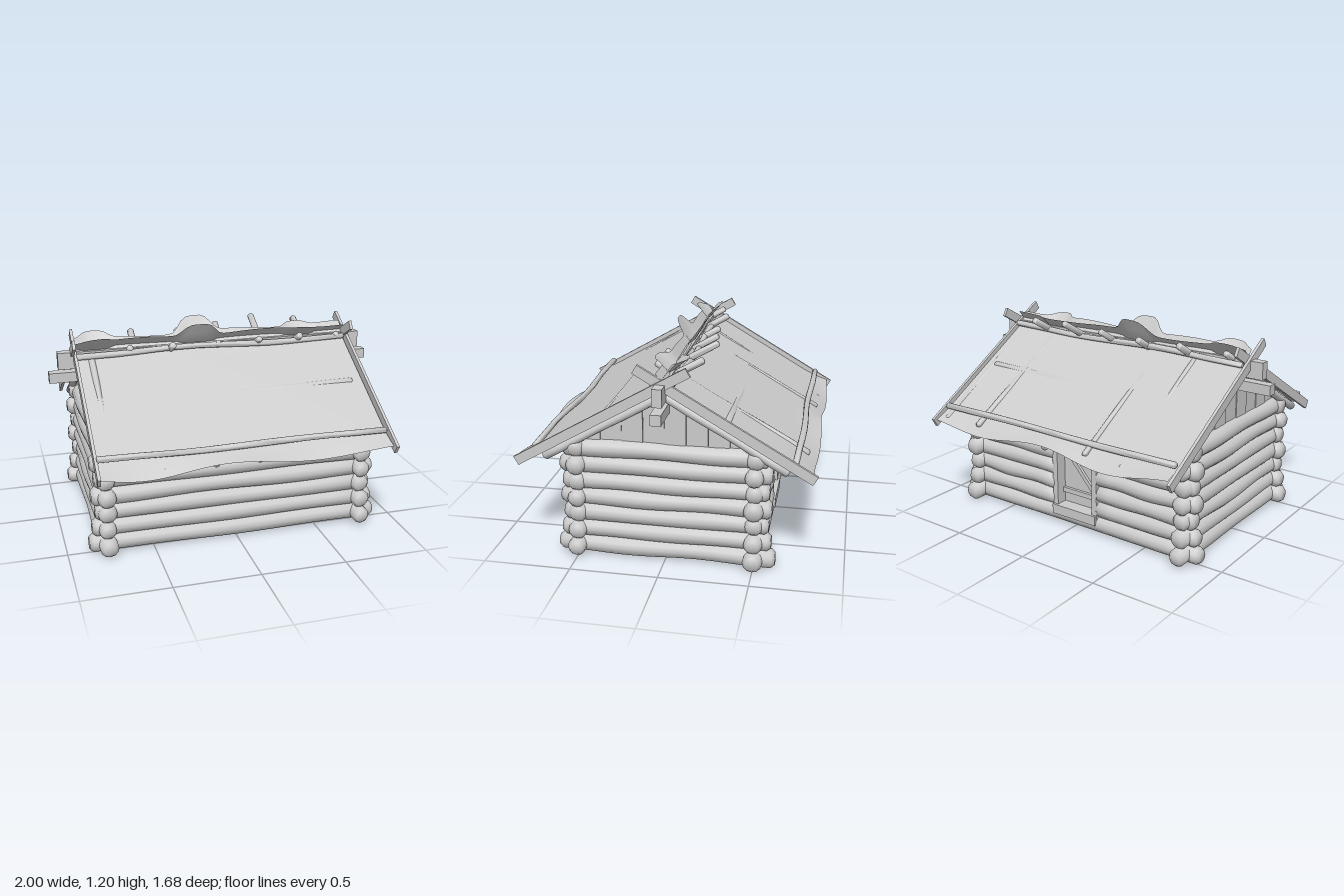
import * as THREE from 'three';
import { toCreasedNormals } from 'three/addons/utils/BufferGeometryUtils.js';

const SLOPE = 0.58;
const roofY = z => 1.05 - SLOPE * z;
const grey = new THREE.MeshStandardMaterial({ color: 0xcccccc });
const thin = new THREE.MeshStandardMaterial({ color: 0xcccccc, side: THREE.DoubleSide });

export function createModel() {
  const model = new THREE.Group();
  let seed = 1;

  function add(geometry, name, material = grey, parent = model) {
    const mesh = new THREE.Mesh(geometry, material);
    mesh.name = name;
    parent.add(mesh);
    return mesh;
  }

  function group(name) {
    const g = new THREE.Group();
    g.name = name;
    model.add(g);
    return g;
  }

  // Slightly crooked round timber from point a to point b, with worn ends
  function log(a, b, r, name, parent, wobble = 0.05) {
    const from = new THREE.Vector3(...a), to = new THREE.Vector3(...b);
    const dir = to.clone().sub(from), len = dir.length(), rings = 14;
    const geo = new THREE.CylinderGeometry(r, r, len, 12, rings);
    const p = geo.attributes.position;
    const k = seed++ * 1.7;
    for (let i = 0; i < p.count; i++) {
      const t = p.getY(i) / len + 0.5;
      const ring = Math.round(t * rings);
      const end = ring === 0 || ring === rings ? 0.66 : 1;
      if (ring === 1 || ring === rings - 1) p.setY(i, Math.sign(t - 0.5) * (len / 2 - r * 0.4));
      const s = end * (1 + 0.05 * Math.sin(t * 11 + k));
      p.setX(i, p.getX(i) * s + r * wobble * Math.sin(t * 9 + k * 2));
      p.setZ(i, p.getZ(i) * s + r * wobble * Math.sin(t * 10 + k * 3));
    }
    const mesh = add(toCreasedNormals(geo, 1.2), name, grey, parent);
    mesh.position.copy(from).add(to).multiplyScalar(0.5);
    mesh.quaternion.setFromUnitVectors(new THREE.Vector3(0, 1, 0), dir.normalize());
  }

  function box(w, h, d, x, y, z, name, parent) {
    const mesh = add(new THREE.BoxGeometry(w, h, d), name, grey, parent);
    mesh.position.set(x, y, z);
    return mesh;
  }

  // Log walls, with the back wall cut for the door
  const doorL = 0.13, doorR = -0.16;
  const walls = group('logWalls');
  for (let i = 0; i < 7; i++) {
    const y = 0.057 + i * 0.0985, r = 0.053;
    const ex = i === 0 ? 0.875 : 0.835 + 0.02 * (i % 2);
    const ez = i === 0 ? 0.62 : 0.58 + 0.015 * (i % 2);
    log([-ex, y, 0.5], [ex, y, 0.5], r, 'frontLog', walls);
    if (i > 0 && i < 6) {
      log([-ex, y, -0.5], [doorR, y, -0.5], r, 'backLogRight', walls);
      log([doorL, y, -0.5], [ex, y, -0.5], r, 'backLogLeft', walls);
    } else {
      log([-ex, y, -0.5], [ex, y, -0.5], r, 'backLog', walls);
    }
    for (const s of [-1, 1]) log([s * 0.77, y, -ez], [s * 0.77, y, ez], r, 'sideLog', walls);
  }

  // Plank door with jambs, sill and diagonal brace
  const door = group('door');
  const dx = (doorL + doorR) / 2;
  box(0.28, 0.52, 0.02, dx, 0.35, -0.465, 'doorPanel', door);
  for (const x of [doorL, doorR]) box(0.035, 0.53, 0.11, x, 0.35, -0.49, 'doorJamb', door);
  box(0.32, 0.06, 0.13, dx, 0.09, -0.495, 'doorSill', door);
  for (const y of [0.2, 0.5]) box(0.26, 0.03, 0.02, dx, y, -0.483, 'doorBatten', door);
  box(0.38, 0.025, 0.02, dx, 0.35, -0.482, 'doorBrace', door).rotation.z = 0.85;

  // Gables of vertical planks cut to the roof slope
  const gables = group('gables');
  const n = 8, half = 0.48, w = 2 * half / n;
  const plankTop = z => roofY(Math.abs(z)) - 0.05;
  for (const s of [-1, 1]) {
    for (let i = 0; i < n; i++) {
      const z0 = -half + i * w + 0.001, z1 = -half + (i + 1) * w - 0.001;
      const shape = new THREE.Shape();
      shape.moveTo(-z0, 0.62);
      shape.lineTo(-z1, 0.62);
      shape.lineTo(-z1, plankTop(z1));
      shape.lineTo(-z0, plankTop(z0));
      const geo = new THREE.ExtrudeGeometry(shape, { depth: 0.02, bevelEnabled: false });
      geo.rotateY(Math.PI / 2);
      geo.translate(s * 0.77 - 0.01 + 0.004 * (i % 2), 0, 0);
      add(geo, 'gablePlank', grey, gables);
    }
  }

  // Ridge beams and purlins
  const frame = group('roofFrame');
  box(2, 0.06, 0.06, 0, 0.91, 0, 'ridgeBeam', frame);
  box(1.89, 0.1, 0.055, 0, 1.01, 0.005, 'ridgeLog', frame);
  for (const s of [-1, 1]) {
    log([-0.8, roofY(0.34) - 0.04, s * 0.34], [0.78, roofY(0.34) - 0.014, s * 0.34], 0.022, 'purlin', frame);
  }

  // Rafters under each slope, crossing over the ridge: [x, length past ridge, depth at top, depth at eave]
  const rafters = {
    1: [[-0.75, 0.1, 0.004, 0.03], [-0.48, 0.16, 0.024, 0.03], [-0.19, 0.15, 0.03, 0.03],
      [0.06, 0.18, 0.03, 0.03], [0.31, 0.22, 0.03, 0.03], [0.58, 0.18, 0.03, 0.03]],
    [-1]: [[-0.52, 0.06, 0.014, 0.028], [-0.27, 0.1, 0.03, 0.005], [0.02, 0.07, 0.03, 0.03],
      [0.27, 0.1, 0.03, 0.03], [0.53, 0.1, 0.028, 0.005], [0.79, 0.06, 0.025, 0.014]],
  };
  for (const s of [1, -1]) {
    for (const [x, over, top, low] of rafters[s]) {
      log([x, roofY(-over) - top, -s * over], [x, roofY(0.77) - low, s * 0.77], 0.02, 'rafter', frame);
    }
    for (const x of [-0.81, 0.81]) {
      log([x, roofY(-0.02) - 0.065, -s * 0.02], [x, roofY(0.68) - 0.065, s * 0.68], 0.025, 'gableRafter', frame);
    }
  }

  // Bark sheets: wavy eaves, and flaps past the ridge: [x, reach, extra height, half width]
  const flaps = [[-0.1, 0.06, 0.05, 0.11], [0.55, 0.06, -0.02, 0.08], [-0.72, 0.05, 0, 0.09]];
  const roof = group('roof');
  for (const s of [1, -1]) {
    const geo = new THREE.PlaneGeometry(1.68, 1, 56, 24);
    const p = geo.attributes.position;
    for (let i = 0; i < p.count; i++) {
      const x = p.getX(i), t = 0.5 - p.getY(i);
      let flare = 0.045 + 0.008 * Math.sin(x * 8 + s), zTop = -0.035;
      for (const [fx, reach, height, fw] of flaps) {
        const bump = Math.exp(-(((x - fx) / fw) ** 4));
        flare += height * bump;
        zTop -= reach * bump;
      }
      const zEnd = 0.818 + 0.007 * Math.sin(x * 8 + s);
      const z = zTop + (zEnd - zTop) * t;
      const up = Math.max(0, 1 - t / 0.09);
      const wave = 0.004 - 0.024 * Math.cos(6.5 * (s * x - 0.42));
      const eave = Math.max(0, (t - 0.8) / 0.2) ** 2 * wave;
      p.setXYZ(i, x, roofY(z) + up * flare + eave, s * z);
    }
    // The mirrored slope needs its corner order reversed
    if (s < 0) geo.setIndex([...geo.index.array].reverse());
    geo.computeVertexNormals();
    add(geo, 'barkSheet', thin, roof);

    // Poles holding the bark down
    for (const z of [0.055, 0.72]) {
      log([-0.84, roofY(z) + 0.026, s * z], [0.84, roofY(z) + 0.026, s * z], 0.018, 'holdingPole', roof, 0.4);
    }

    // Crossing barge boards at both gable ends
    for (const e of [-1, 1]) {
      const board = box(0.018, 0.055, 1.12, e * (0.852 + 0.008 * s * e), roofY(0.34), s * 0.34, 'bargeBoard', roof);
      board.rotation.x = s * Math.atan(SLOPE);
    }
  }

  return model;
}
